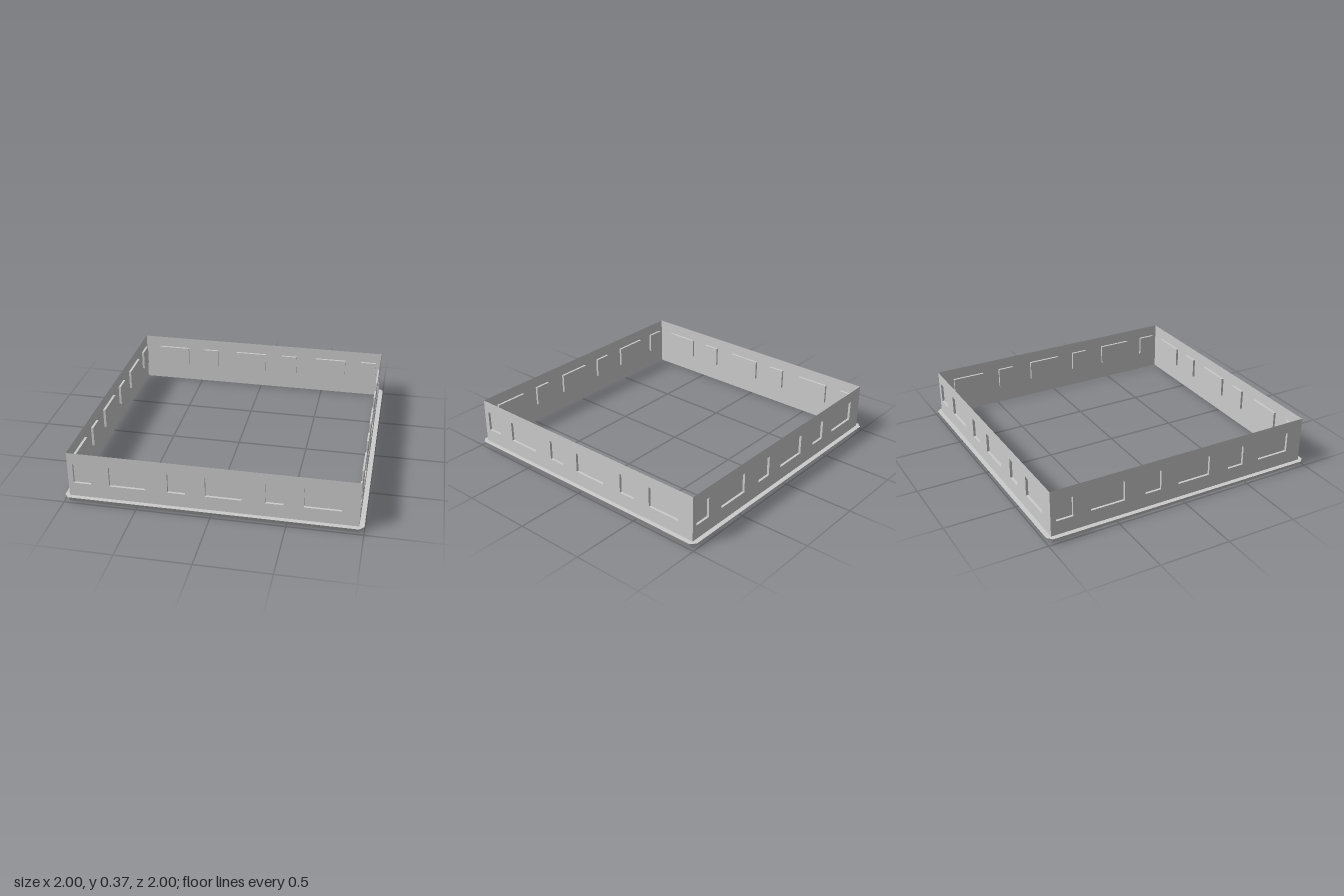
import * as THREE from 'three';

const W = 0.967;                     // half width of the wall ring
const LEDGE = 0.04, TOP = 0.365;     // wall bottom and top
const SILL = 0.14, HEAD = 0.283;     // window bottom and top
const DEPTH = 0.017;                 // window recess
const WINDOWS = [[-0.93, -0.81], [-0.685, -0.442], [-0.29, -0.17],
  [-0.038, 0.205], [0.358, 0.478], [0.608, 0.85]];

const material = new THREE.MeshStandardMaterial({ color: 0xcccccc, flatShading: true, side: THREE.DoubleSide });

function rectangle(target, x0, x1, y0, y1) {
  target.moveTo(x0, y0).lineTo(x1, y0).lineTo(x1, y1).lineTo(x0, y1).closePath();
  return target;
}

// Thin wall sheet with window openings
function wallGeometry() {
  const shape = rectangle(new THREE.Shape(), -W, W, LEDGE, TOP);
  for (const [a, b] of WINDOWS) shape.holes.push(rectangle(new THREE.Path(), a, b, SILL, HEAD));
  return new THREE.ShapeGeometry(shape).translate(0, 0, W);
}

// Shallow window pocket, open to the outside
function pocketGeometry(a, b) {
  const box = new THREE.BoxGeometry(b - a, HEAD - SILL, DEPTH);
  const index = Array.from(box.index.array).filter((_, i) => i < 24 || i > 29);
  box.setIndex(index);
  box.clearGroups();
  return box.translate((a + b) / 2, (SILL + HEAD) / 2, W - DEPTH / 2);
}

// Sloped ledge with chamfered corners, swept through its cross-section
function ledgeGeometry() {
  const profile = [[W, LEDGE], [1, LEDGE], [0.975, 0], [W, 0]];
  const positions = [], index = [];
  for (const [r, y] of profile) {
    for (const [x, z] of [[-W, r], [W, r], [r, W], [r, -W], [W, -r], [-W, -r], [-r, -W], [-r, W]]) {
      positions.push(x, y, z);
    }
  }
  for (let i = 0; i < 4; i++) {
    for (let j = 0; j < 8; j++) {
      const k = (j + 1) % 8, n = ((i + 1) % 4) * 8;
      const a = i * 8 + j, b = i * 8 + k, c = n + k, d = n + j;
      index.push(a, d, c, a, c, b);
    }
  }
  const geometry = new THREE.BufferGeometry();
  geometry.setAttribute('position', new THREE.Float32BufferAttribute(positions, 3));
  geometry.setIndex(index);
  const flat = geometry.toNonIndexed();
  flat.computeVertexNormals();
  return flat;
}

export function createModel() {
  const model = new THREE.Group();
  model.name = 'wallRing';
  const add = (parent, geometry, name) => {
    const mesh = new THREE.Mesh(geometry, material);
    mesh.name = name;
    parent.add(mesh);
  };

  // Four identical sides, each a quarter turn from the last
  const wall = wallGeometry();
  const pockets = WINDOWS.map(([a, b]) => pocketGeometry(a, b));
  ['front', 'left', 'back', 'right'].forEach((name, i) => {
    const side = new THREE.Group();
    side.name = name + 'Side';
    side.rotation.y = i * Math.PI / 2;
    add(side, wall, 'wall');
    pockets.forEach((pocket) => add(side, pocket, 'windowRecess'));
    model.add(side);
  });

  add(model, ledgeGeometry(), 'baseLedge');
  return model;
}
